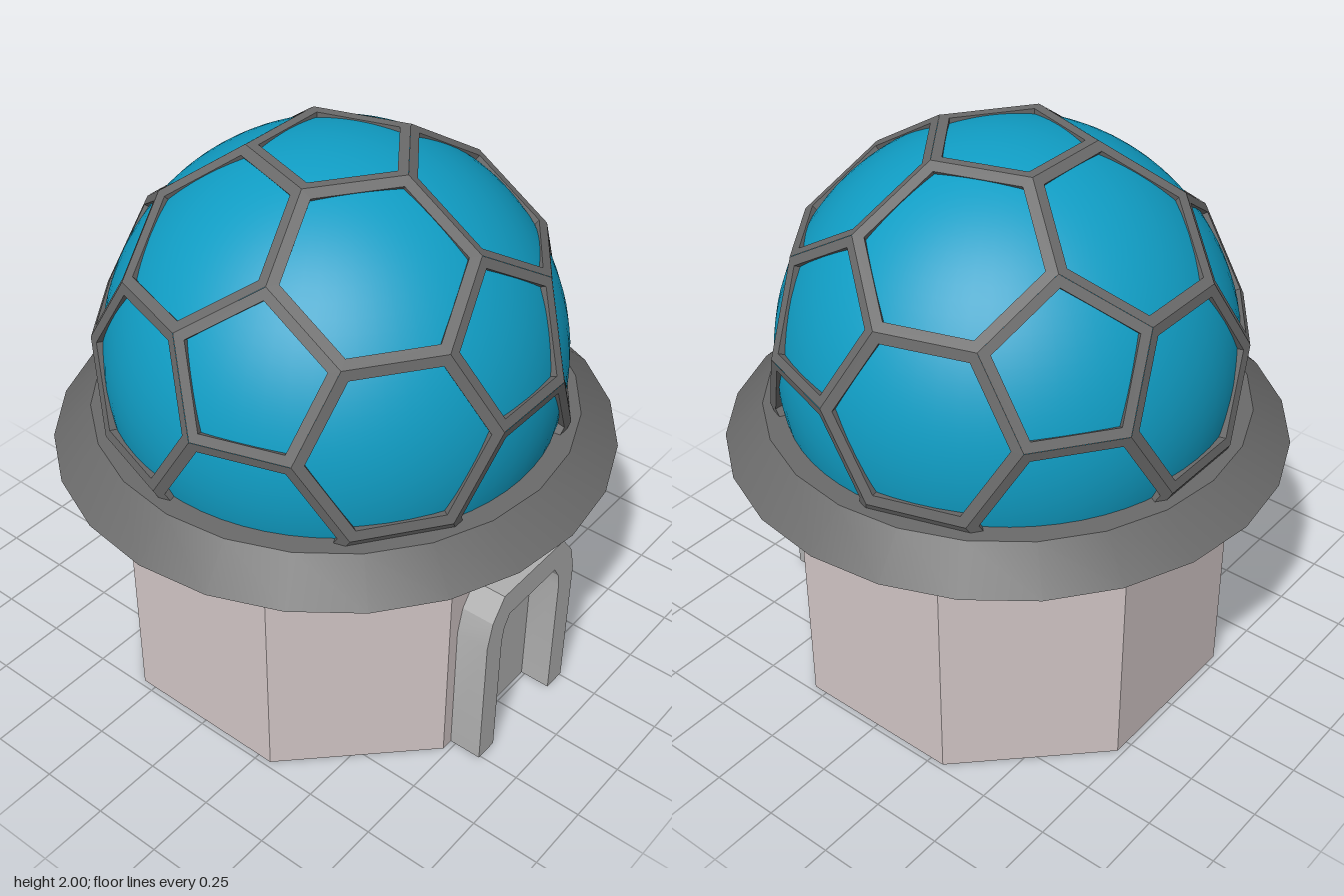
import * as THREE from 'three';
import { toCreasedNormals } from 'three/addons/utils/BufferGeometryUtils.js';

const material = (name, color) => {
  const m = new THREE.MeshStandardMaterial({ color });
  m.name = name;
  return m;
};

// Frame of a truncated icosahedron: every face becomes a flat rim with inner walls.
function latticeGeometry(radius, halfWidth, halfDepth) {
  const V = (x, y, z) => new THREE.Vector3(x, y, z);
  const ico = [V(0, 1, 0), V(0, -1, 0)];
  for (let k = 0; k < 5; k++) {
    const a = (k * Math.PI * 2) / 5, b = a + Math.PI / 5, r = 2 / Math.sqrt(5);
    ico.push(V(r * Math.cos(a), r / 2, r * Math.sin(a)), V(r * Math.cos(b), -r / 2, r * Math.sin(b)));
  }
  const near = (a, b) => a !== b && a.dot(b) > 0.4;

  // Corners lie a third of the way along each icosahedron edge
  const corners = [];
  for (const a of ico) for (const b of ico) {
    if (near(a, b)) corners.push(a.clone().lerp(b, 1 / 3).setLength(radius));
  }

  // Face directions: 12 pentagons and 20 hexagons
  const normals = [...ico];
  ico.forEach((a, i) => ico.forEach((b, j) => ico.forEach((c, k) => {
    if (i < j && j < k && near(a, b) && near(b, c) && near(a, c)) {
      normals.push(a.clone().add(b).add(c).normalize());
    }
  })));

  const pos = [];
  const quad = (a, b, c, d) => [a, b, c, a, c, d].forEach((p) => pos.push(p.x, p.y, p.z));
  for (const n of normals) {
    if (n.y < -0.5) continue; // hidden inside the base
    const level = Math.max(...corners.map((p) => p.dot(n)));
    const loop = corners.filter((p) => p.dot(n) > level - 1e-4);
    const centre = n.clone().multiplyScalar(level);
    const u = loop[0].clone().sub(centre).normalize();
    const v = n.clone().cross(u);
    const angle = (p) => Math.atan2(p.dot(v), p.dot(u));
    loop.sort((p, q) => angle(p) - angle(q));
    const apothem = loop[0].clone().add(loop[1]).multiplyScalar(0.5).distanceTo(centre);
    const shrink = 1 - halfWidth / apothem;
    const outer = (p, s) => p.clone().multiplyScalar(1 + (s * halfDepth) / level);
    const inset = (p, s) => p.clone().sub(centre).multiplyScalar(shrink)
      .add(centre).addScaledVector(n, s * halfDepth);
    loop.forEach((p, i) => {
      const q = loop[(i + 1) % loop.length];
      quad(outer(p, 1), outer(q, 1), inset(q, 1), inset(p, 1));
      quad(inset(p, 1), inset(q, 1), inset(q, -1), inset(p, -1));
      quad(inset(p, -1), inset(q, -1), outer(q, -1), outer(p, -1));
    });
  }
  const g = new THREE.BufferGeometry();
  g.setAttribute('position', new THREE.Float32BufferAttribute(pos, 3));
  g.computeVertexNormals();
  return g;
}

// Arched outline, half given by (half-width, height) points and mirrored
function archPoints(half) {
  const right = half.map(([x, y]) => new THREE.Vector2(x, y));
  const left = half.map(([x, y]) => new THREE.Vector2(-x, y)).reverse();
  return [...right, ...left];
}

export function createModel() {
  const group = new THREE.Group();
  const stone = material('paleStone', 0xd0c4c4);
  const metal = material('darkMetal', 0x6a6a6a);
  const doorGrey = material('doorGrey', 0xafafaf);
  const glass = material('blueGlass', 0x109dc4);

  const add = (name, geometry, mat) => {
    const mesh = new THREE.Mesh(geometry, mat);
    mesh.name = name;
    group.add(mesh);
    return mesh;
  };

  // Octagonal tower
  const tower = new THREE.CylinderGeometry(0.79, 0.79, 0.82, 8, 1, false, Math.PI / 8);
  add('tower', toCreasedNormals(tower, 0.5), stone).position.y = 0.41;

  // Bevelled collar around the dome
  const profile = [[0, 0.8], [0.78, 0.8], [0.975, 0.92], [0.84, 1.04], [0, 1.04]]
    .map(([r, y]) => new THREE.Vector2(r, y));
  add('collar', toCreasedNormals(new THREE.LatheGeometry(profile, 24), 0.5), metal);

  // Dome and its lattice
  add('dome', new THREE.SphereGeometry(0.785, 64, 32, 0, Math.PI * 2, 0, Math.PI * 0.62), glass)
    .position.y = 1.215;
  add('domeLattice', latticeGeometry(0.797, 0.026, 0.025), metal).position.y = 1.207;

  // Doorway on the left side
  const outerArch = [[0.258, 0], [0.258, 0.53], [0.235, 0.625], [0.175, 0.705]];
  const innerArch = [[0.172, 0], [0.172, 0.5], [0.162, 0.555], [0.135, 0.6]];
  const frameShape = new THREE.Shape([...archPoints(outerArch), ...archPoints(innerArch)
    .reverse()]);
  const frame = new THREE.ExtrudeGeometry(frameShape, { depth: 0.145, bevelEnabled: false });
  const frameMesh = add('doorFrame', toCreasedNormals(frame, 0.3), doorGrey);
  frameMesh.rotation.y = Math.PI / 2;
  frameMesh.position.x = 0.705;

  const panel = new THREE.ExtrudeGeometry(new THREE.Shape(archPoints(innerArch)),
    { depth: 0.009, bevelEnabled: false });
  const panelMesh = add('door', panel, doorGrey);
  panelMesh.rotation.y = Math.PI / 2;
  panelMesh.position.x = 0.728;

  return group;
}
